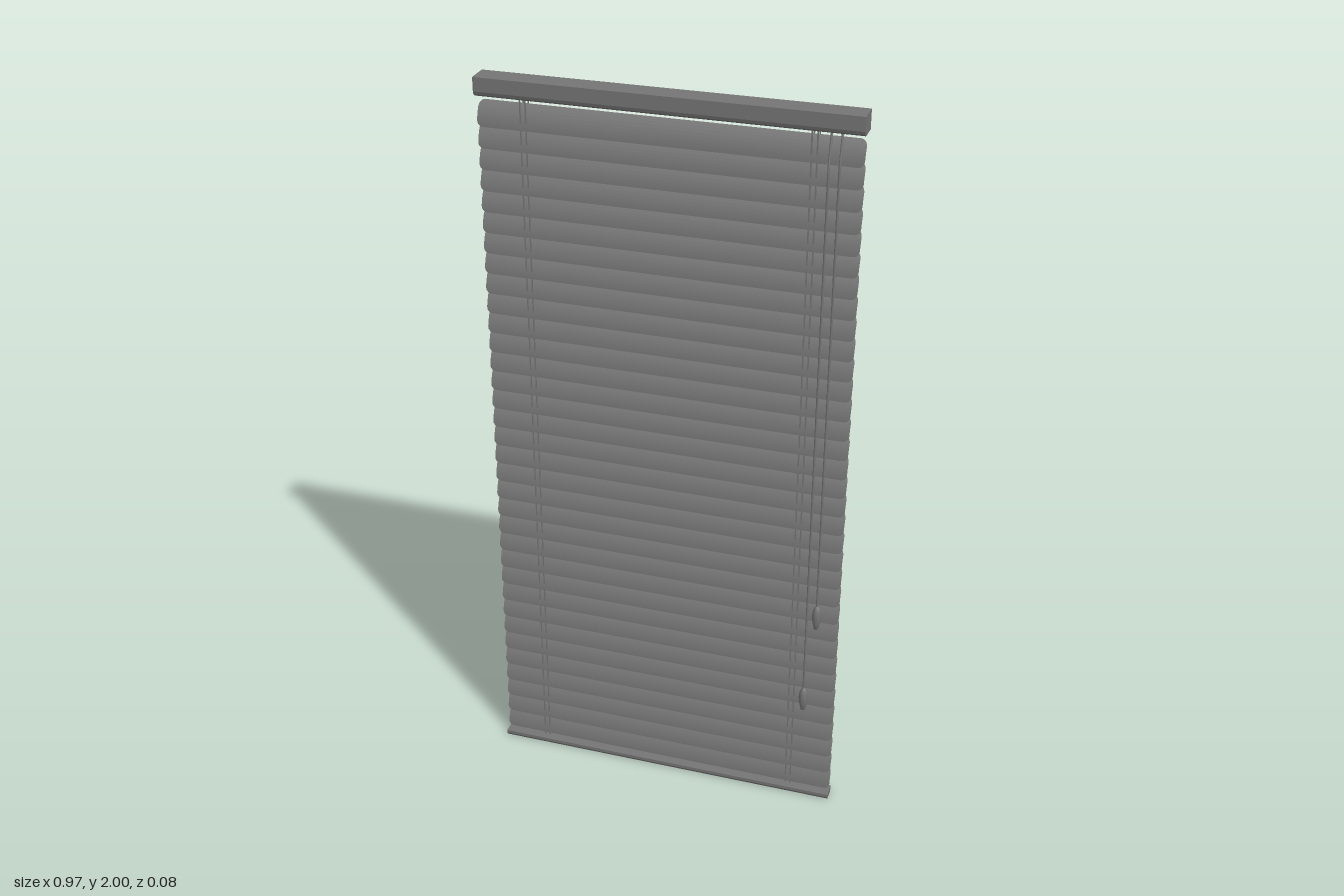
import * as THREE from 'three';

const HALF = 0.485;        // half width of the blind
const SLATS = 34;
const SLAT_H = 0.064;      // height of a closed slat
const LOW = 0.025, HIGH = 1.935;

// Bar along x from a profile of [z, y] points
function railGeometry(points) {
  const shape = new THREE.Shape(points.map(([z, y]) => new THREE.Vector2(-z, y)));
  const geo = new THREE.ExtrudeGeometry(shape, { depth: HALF * 2, bevelEnabled: false });
  geo.translate(0, 0, -HALF);
  geo.rotateY(Math.PI / 2);
  return geo;
}

// Thin crowned sheet, tilted shut, with rounded corners
function slatGeometry() {
  const geo = new THREE.PlaneGeometry(2, 1, 1, 12);
  const p = geo.attributes.position;
  const r = 0.016;
  for (let i = 0; i < p.count; i++) {
    // rows bunch towards the edges so the corners stay round
    const v = 0.5 * Math.sin(Math.PI * p.getY(i));
    const d = Math.max(0, r - (0.5 - Math.abs(v)) * SLAT_H);
    const inset = r - Math.sqrt(Math.max(0, r * r - d * d));
    p.setXYZ(i, Math.sign(p.getX(i)) * (HALF - inset), v * SLAT_H,
      -0.004 - v * 0.024 + 0.005 * (1 - 4 * v * v));
  }
  geo.computeVertexNormals();
  return geo;
}

export function createModel() {
  const blind = new THREE.Group();
  blind.name = 'windowBlind';
  const grey = new THREE.MeshStandardMaterial({ color: 0x757575, side: THREE.DoubleSide });
  grey.name = 'grey';

  const add = (name, geo, x = 0, y = 0, z = 0, parent = blind) => {
    const mesh = new THREE.Mesh(geo, grey);
    mesh.name = name;
    mesh.position.set(x, y, z);
    parent.add(mesh);
    return mesh;
  };

  // Head rail with a rounded lower front edge
  add('headRail', railGeometry([
    [0.022, 2], [0.022, 1.964], [0.019, 1.956], [0.013, 1.951], [0.006, 1.95],
    [-0.04, 1.95], [-0.04, 2],
  ]));

  // Bottom rail, narrower underneath
  add('bottomRail', railGeometry([
    [0.026, 0.017], [0.026, 0.008], [0.021, 0], [-0.01, 0], [-0.018, 0.011], [-0.018, 0.017],
  ]));

  // Slats, bottom edges forward and overlapping like shingles
  const slats = new THREE.Group();
  slats.name = 'slats';
  blind.add(slats);
  const slat = slatGeometry();
  const pitch = (HIGH - LOW - SLAT_H) / (SLATS - 1);
  for (let i = 0; i < SLATS; i++) {
    add('slat', slat, 0, LOW + SLAT_H / 2 + i * pitch, 0, slats);
  }

  // Ladder strings, a pair before and behind on each side
  const string = new THREE.PlaneGeometry(0.004, 1.94);
  for (const side of [-1, 1]) {
    const ladder = new THREE.Group();
    ladder.name = side > 0 ? 'leftLadder' : 'rightLadder';
    blind.add(ladder);
    for (const dx of [-0.007, 0.007]) {
      add('frontString', string, side * 0.364 + dx, 0.985, 0.005, ladder);
      add('backString', string, side * 0.364 + dx, 0.985, -0.0175, ladder);
    }
  }

  // Pull cords with teardrop tassels
  const tassel = new THREE.LatheGeometry([
    [0.0001, 0], [0.006, 0.003], [0.0105, 0.022], [0.0125, 0.042],
    [0.0105, 0.06], [0.005, 0.073], [0.0001, 0.076],
  ].map(([r, y]) => new THREE.Vector2(r, y)), 8);
  for (const [x, bottom] of [[0.403, 0.3], [0.429, 0.574]]) {
    const pull = new THREE.Group();
    pull.name = 'pullCord';
    blind.add(pull);
    const path = new THREE.CurvePath();
    const pts = [[1.955, 0], [1.87, 0.02], [1.1, 0.026], [bottom + 0.07, 0.028]]
      .map(([y, z]) => new THREE.Vector3(x, y, z));
    for (let i = 1; i < pts.length; i++) path.add(new THREE.LineCurve3(pts[i - 1], pts[i]));
    add('cord', new THREE.TubeGeometry(path, 40, 0.003, 6), 0, 0, 0, pull);
    add('tassel', tassel, x, bottom, 0.028, pull);
  }

  return blind;
}
